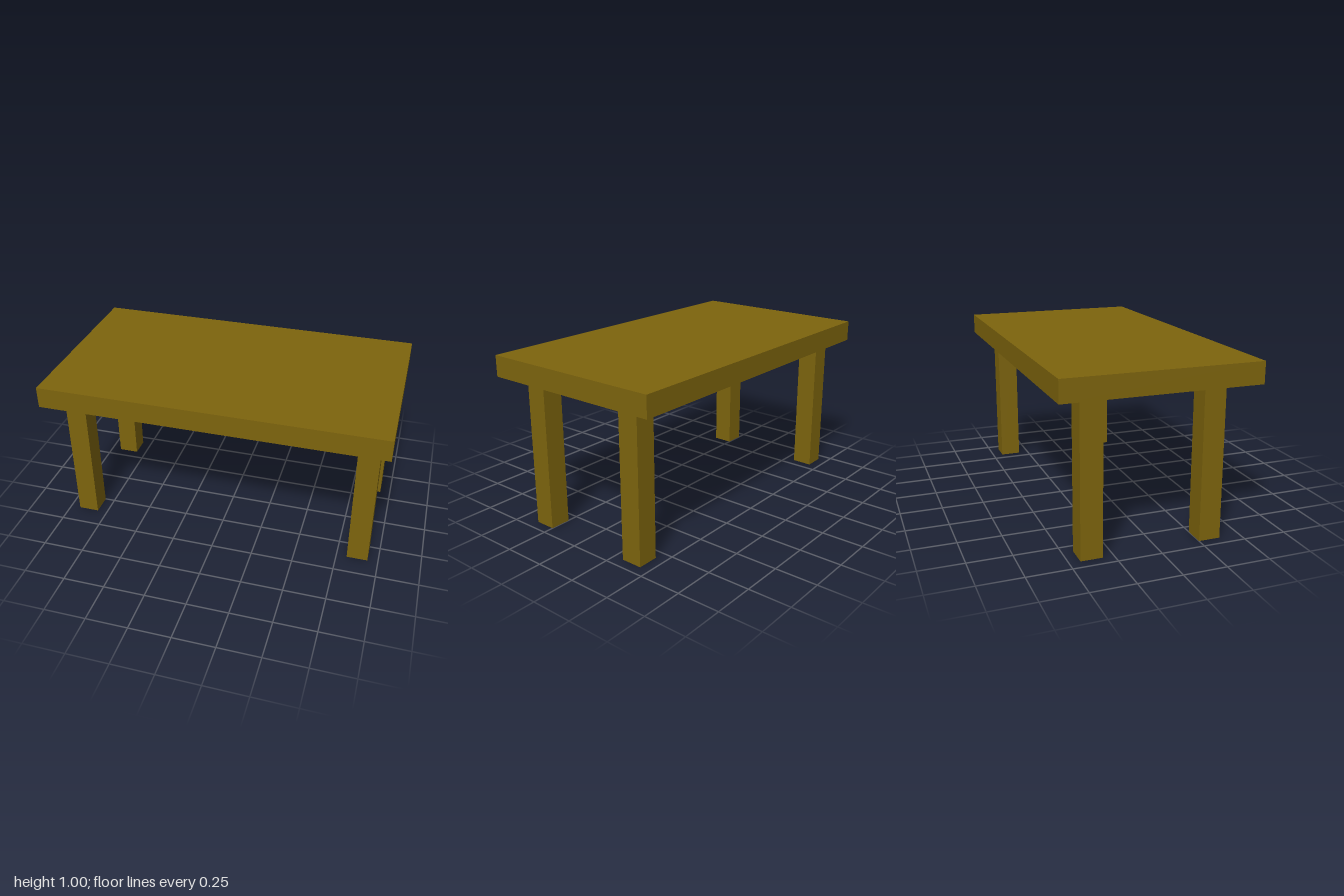
import * as THREE from 'three';

const LEG = 0.125;         // square leg width
const LEG_HEIGHT = 0.875;
const TOP_THICKNESS = 0.125;

export function createModel() {
  const table = new THREE.Group();
  table.name = 'table';
  const wood = new THREE.MeshStandardMaterial({ color: 0x7d640d });
  wood.name = 'brown wood';

  const addBox = (name, size, position) => {
    const mesh = new THREE.Mesh(new THREE.BoxGeometry(...size), wood);
    mesh.name = name;
    mesh.position.set(...position);
    table.add(mesh);
  };

  // Thick rectangular slab
  addBox('tableTop', [2, TOP_THICKNESS, 1.125], [0, LEG_HEIGHT + TOP_THICKNESS / 2, 0]);

  // Four square legs; the front pair is inset further than the back pair
  for (const [side, x] of [['Left', 0.875], ['Right', -0.875]]) {
    for (const [end, z] of [['front', 0.3125], ['back', -0.375]]) {
      addBox(`${end}${side}Leg`, [LEG, LEG_HEIGHT, LEG], [x, LEG_HEIGHT / 2, z]);
    }
  }

  return table;
}
